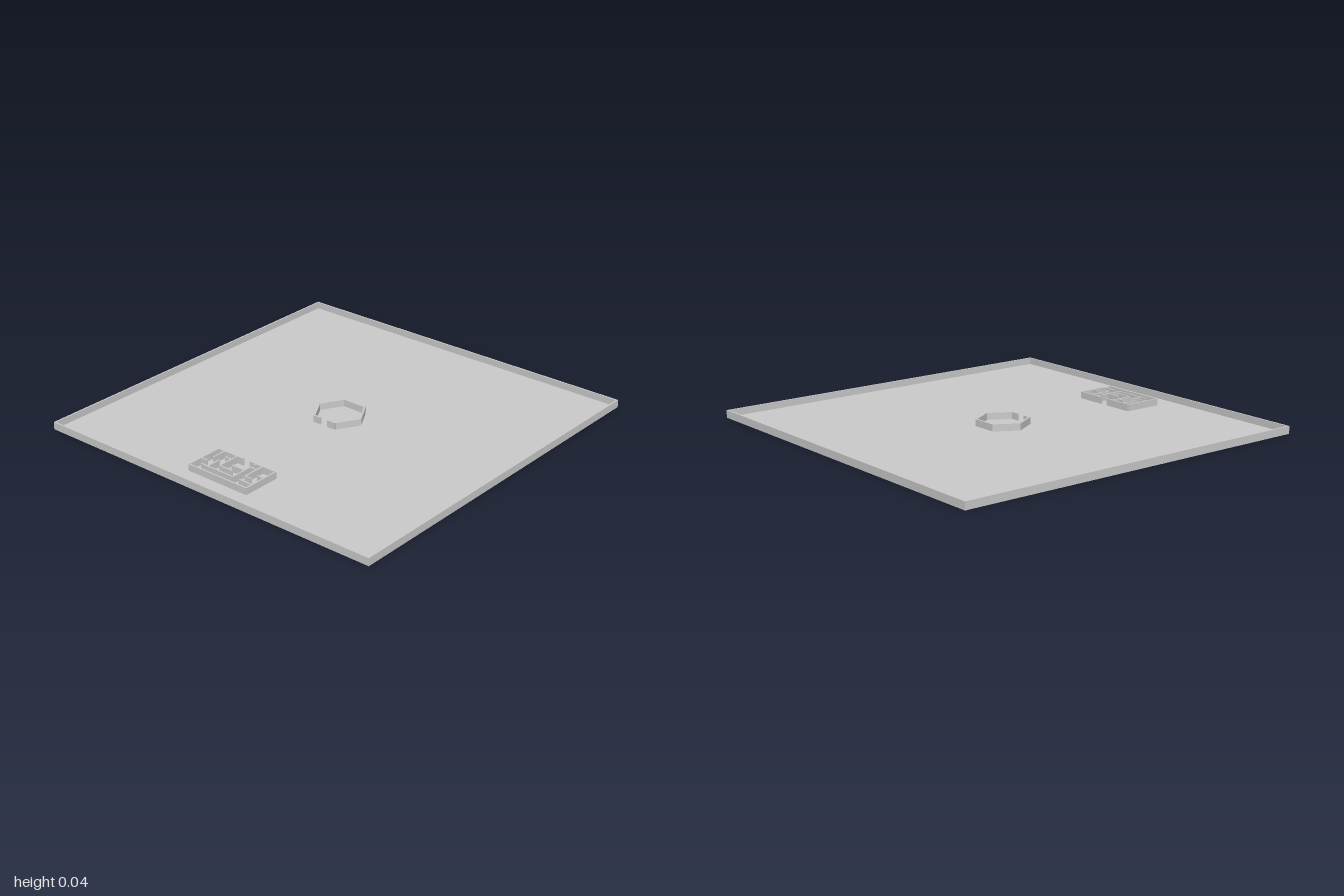
import * as THREE from 'three';

const FLOOR = 0.004, HEIGHT = 0.04;

export function createModel() {
  const model = new THREE.Group();
  model.name = 'walledArena';
  const material = new THREE.MeshStandardMaterial({ color: 0xcccccc, flatShading: true });

  // Upright wall standing on the floor between two plan points [x, z]
  function wall(parent, name, [x1, z1], [x2, z2], thickness) {
    const length = Math.hypot(x2 - x1, z2 - z1);
    const h = HEIGHT - FLOOR;
    const mesh = new THREE.Mesh(new THREE.BoxGeometry(length, h, thickness), material);
    mesh.position.set((x1 + x2) / 2, FLOOR + h / 2, (z1 + z2) / 2);
    mesh.rotation.y = -Math.atan2(z2 - z1, x2 - x1);
    mesh.name = name;
    parent.add(mesh);
  }
  function group(name) {
    const g = new THREE.Group();
    g.name = name;
    model.add(g);
    return g;
  }

  // Square floor
  const floor = new THREE.Mesh(new THREE.BoxGeometry(2, FLOOR, 2), material);
  floor.position.y = FLOOR / 2;
  floor.name = 'floor';
  model.add(floor);

  // Border walls
  const border = group('border');
  const t = 0.008, e = 1 - t / 2;
  for (const s of [-1, 1]) {
    wall(border, 'borderWall', [-1, s * e], [1, s * e], t);
    wall(border, 'borderSideWall', [s * e, -1 + t], [s * e, 1 - t], t);
  }

  // Hexagonal pen with a doorway in its -x side
  const pen = group('hexagonPen');
  const R = 0.134;
  const corner = (i) => [R * Math.sin(i * Math.PI / 3), -R * Math.cos(i * Math.PI / 3)];
  for (let i = 0; i < 6; i++) {
    const a = corner(i), b = corner(i + 1);
    if (i === 4) {
      wall(pen, 'penDoorWall', a, [a[0], 0.02], 0.01);
      wall(pen, 'penDoorWall', [b[0], -0.025], b, 0.01);
    } else wall(pen, 'penWall', a, b, 0.01);
  }

  // Maze of 5 x 9 cells; each wall is [column, row, column, row]
  const maze = group('maze');
  const cell = 0.0405, x0 = -0.882, z0 = -0.184;
  const mazeWalls = [
    // Outline with an opening on the +x side
    [0, 0, 5, 0], [0, 9, 5, 9], [0, 0, 0, 9], [5, 0, 5, 4], [5, 5, 5, 9],
    // Inner partitions
    [1, 1, 1, 6], [2, 0, 2, 1], [1, 2, 3, 2], [3, 1, 5, 1], [4, 2, 4, 3],
    [2, 3, 5, 3], [2, 3, 2, 5], [3, 4, 3, 6], [1, 6, 4, 6], [4.5, 6, 5, 6],
    [2, 7, 5, 7], [4, 6, 4, 7], [1, 7, 1, 9], [2, 7, 2, 8], [3, 8, 3, 9],
  ];
  for (const [a, b, c, d] of mazeWalls) {
    wall(maze, 'mazeWall', [x0 + a * cell, z0 + b * cell], [x0 + c * cell, z0 + d * cell], 0.008);
  }
  return model;
}
